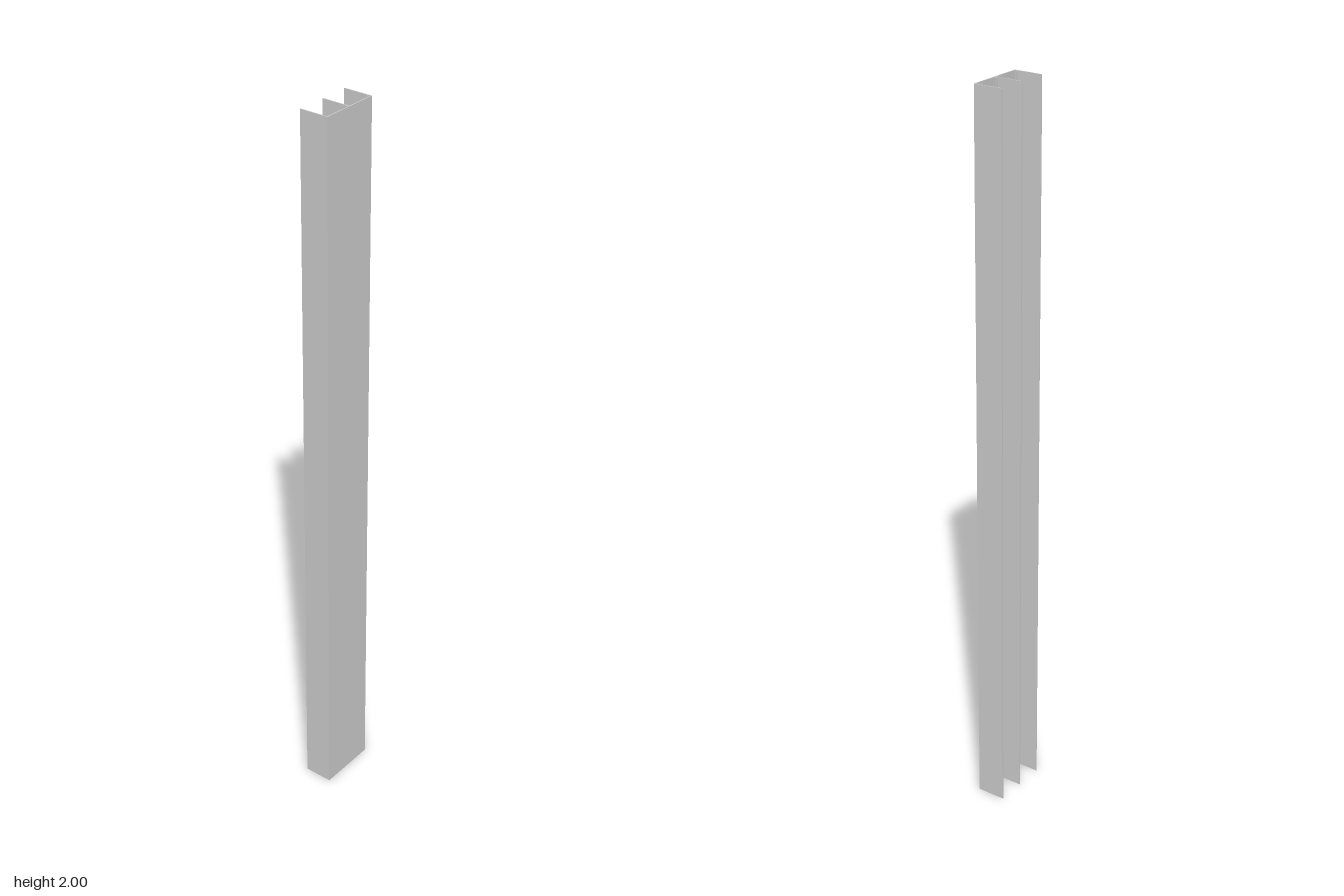
import * as THREE from 'three';

const HEIGHT = 2, BACK = 0.04, HALF = 0.083; // length, half depth in x, half width in z
const WEB = 0.003, FLANGE = 0.0025, FIN = 0.00125; // web and flange thickness, half the fin's
const RIB_IN = 0.0325, RIB_OUT = 0.03, RIB = 0.006; // clip ribs near the web

// E-shaped channel section: one half traced from the outer corner to the fin tip, then mirrored
function channelSection() {
  const inner = HALF - FLANGE;
  const half = [
    [BACK, HALF], [-BACK, HALF], [-BACK, inner],
    [RIB_OUT, inner], [RIB_OUT, HALF - RIB], [RIB_IN, HALF - RIB], [RIB_IN, inner],
    [BACK - WEB, inner], [BACK - WEB, FIN],
    [RIB_IN, FIN], [RIB_IN, RIB], [RIB_OUT, RIB], [RIB_OUT, FIN],
    [-BACK, FIN],
  ];
  const mirrored = half.map(([x, z]) => [x, -z]).reverse();
  return new THREE.Shape([...half, ...mirrored].map(([x, z]) => new THREE.Vector2(x, z)));
}

export function createModel() {
  const group = new THREE.Group();
  group.name = 'channelProfile';

  // Section extruded along the height
  const geometry = new THREE.ExtrudeGeometry(channelSection(), { depth: HEIGHT, bevelEnabled: false });
  geometry.rotateX(-Math.PI / 2);
  const channel = new THREE.Mesh(geometry, new THREE.MeshStandardMaterial({ color: 0xcccccc }));
  channel.name = 'doubleChannel';
  group.add(channel);
  return group;
}
